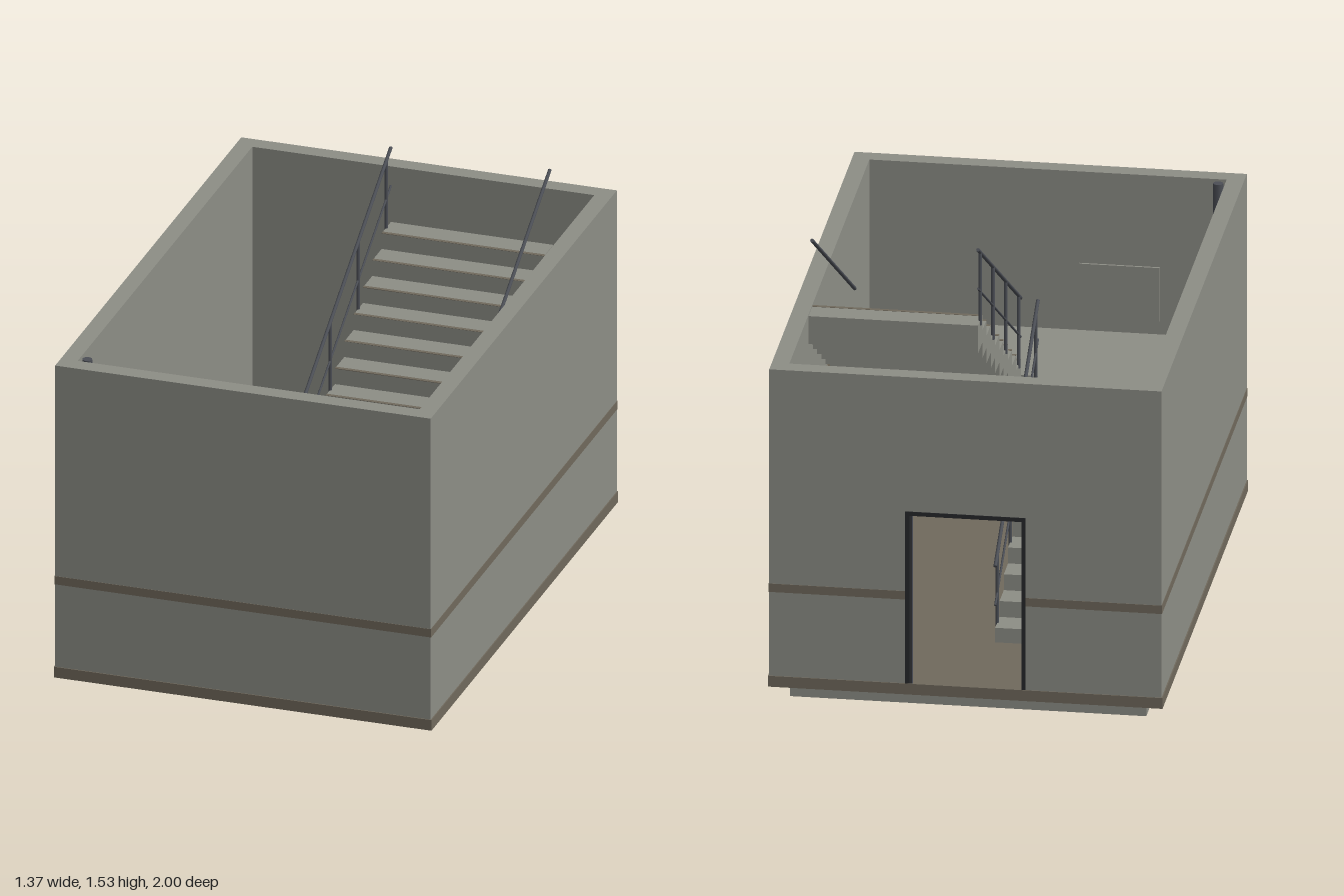
import * as THREE from 'three';

const mat = (name, color) => Object.assign(new THREE.MeshStandardMaterial({ color }), { name });

export function createModel() {
  const root = new THREE.Group();
  root.name = 'stairwell';
  const concrete = mat('concrete grey', 0x8d8e86);
  const brown = mat('trim brown', 0x70695c);
  const metal = mat('rail metal', 0x4c4f56);
  const doorBlue = mat('door slate', 0x565a64);
  const dark = mat('frame black', 0x27282b);

  // Box given by its min and max corners
  const box = (name, m, x0, x1, y0, y1, z0, z1, parent = root) => {
    const mesh = new THREE.Mesh(new THREE.BoxGeometry(x1 - x0, y1 - y0, z1 - z0), m);
    mesh.position.set((x0 + x1) / 2, (y0 + y1) / 2, (z0 + z1) / 2);
    mesh.name = name;
    parent.add(mesh);
    return mesh;
  };
  // Round bar between two points
  const bar = (name, a, b, r, parent) => {
    const p = new THREE.Vector3(...a), q = new THREE.Vector3(...b);
    const mesh = new THREE.Mesh(new THREE.CylinderGeometry(r, r, p.distanceTo(q), 8), metal);
    mesh.position.copy(p).add(q).multiplyScalar(0.5);
    mesh.quaternion.setFromUnitVectors(new THREE.Vector3(0, 1, 0), q.sub(p).normalize());
    mesh.name = name;
    parent.add(mesh);
  };

  const X = 0.683, Z = 0.997, IX = 0.622, IZ = 0.935;
  const FLOOR = 0.06, TOP = 1.24, RISE = 0.059, RUN = 0.1, MID = FLOOR + 10 * RISE;

  // Walls, the back one with a door opening
  for (const s of [-1, 1]) {
    const a = s * IX, b = s * X;
    box('sideWall', concrete, Math.min(a, b), Math.max(a, b), FLOOR, TOP, -Z, Z);
  }
  box('frontWall', concrete, -IX, IX, FLOOR, TOP, IZ, Z);
  const DW = 0.21, DH = 0.74;
  box('backWallRight', concrete, -IX, -DW, FLOOR, TOP, -Z, -IZ);
  box('backWallLeft', concrete, DW, IX, FLOOR, TOP, -Z, -IZ);
  box('backWallLintel', concrete, -DW, DW, DH, TOP, -Z, -IZ);

  // Base band and upper stripe around the outside
  for (const [name, y0, y1, t] of [['baseBand', FLOOR, 0.1, 0.004], ['wallStripe', 0.412, 0.443, 0.002]]) {
    for (const s of [-1, 1]) {
      const x = s * (X + t / 2), z = s * (Z + t / 2 - 0.0005);
      box(name, brown, x - t / 2, x + t / 2, y0, y1, -Z - t + 0.001, Z + t - 0.001);
      if (s < 0 && name === 'wallStripe') {
        box(name, brown, -X, -DW, y0, y1, z - t / 2, z + t / 2);
        box(name, brown, DW, X, y0, y1, z - t / 2, z + t / 2);
      } else box(name, brown, -X, X, y0, y1, z - t / 2, z + t / 2);
    }
  }

  // Floor and landings
  box('floor', brown, -X + 0.001, X - 0.001, FLOOR - 0.001, FLOOR + 0.005, -Z + 0.001, Z - 0.001);
  box('lowerLandingSlab', concrete, -0.62, 0.62, 0, FLOOR - 0.001, -0.93, -0.5);
  box('middleLanding', concrete, -IX, IX, MID - 0.06, MID, 0.5, IZ);

  // Two flights of block steps; dir is the z direction of climbing
  const flight = (name, x0, x1, base, dir) => {
    const g = new THREE.Group();
    g.name = name;
    for (let i = 0; i < 10; i++) {
      const y = base + RISE * (i + 1);
      const za = dir * (-0.5 + RUN * i), zb = dir * (-0.5 + RUN * (i + 1));
      box('step', concrete, x0, x1, y - 0.104, y, Math.min(za, zb), Math.max(za, zb), g);
      // nosing strip on the climbing flight edge
      if (dir < 0 || i === 6) {
        const n = za + dir * 0.014;
        box('nosing', brown, x0, x1, y - 0.001, y + 0.001, Math.min(za, n), Math.max(za, n), g);
      }
    }
    root.add(g);
  };
  flight('lowerFlight', -0.62, -0.03, FLOOR, 1);
  flight('upperFlight', 0.03, 0.62, MID, -1);

  // Sloping handrails; the inner ones have posts and a middle rail
  const railing = (name, x, base, dir, posts) => {
    const g = new THREE.Group();
    g.name = name;
    const at = (z, drop = 0) => [x, base + 0.58 + dir * z * 0.585 - drop, z];
    bar('handrail', at(-0.5), at(0.5), 0.0065, g);
    if (posts) {
      bar('middleRail', at(-0.5, 0.145), at(0.5, 0.145), 0.004, g);
      for (const z of [-0.45, -0.15, 0.15, 0.45]) bar('post', at(z), at(z, 0.27), 0.0065, g);
    }
    root.add(g);
  };
  railing('lowerInnerRail', -0.03, FLOOR, 1, true);
  railing('lowerWallRail', -0.612, FLOOR, 1, false);
  railing('upperInnerRail', 0.03, MID, -1, true);
  railing('upperWallRail', 0.608, MID, -1, false);

  // Door frame, open door leaf and lamp above the door
  box('doorFrameSide', dark, -DW, -DW + 0.015, FLOOR, DH, -Z - 0.002, -IZ + 0.004);
  box('doorFrameSide', dark, DW - 0.015, DW, FLOOR, DH, -Z - 0.002, -IZ + 0.004);
  box('doorFrameTop', dark, -DW, DW, DH - 0.015, DH, -Z - 0.002, -IZ + 0.004);
  const door = new THREE.Group();
  door.name = 'door';
  box('doorLeaf', doorBlue, -0.007, 0.007, 0.07, 0.72, 0, 0.375, door);
  box('doorHandle', dark, -0.015, 0.015, 0.36, 0.38, 0.33, 0.36, door);
  door.position.set(0.2, 0, -0.93);
  door.rotation.y = 0.18;
  root.add(door);
  box('lampHousing', dark, -0.105, 0.105, 0.8, 0.87, -IZ, -0.918);
  box('lampCover', doorBlue, -0.06, 0.06, 0.805, 0.875, -IZ, -0.912);

  // Wall fittings: corner pipe, landing panel and wall plate
  const pipe = new THREE.Mesh(new THREE.CylinderGeometry(0.018, 0.018, TOP - MID - 0.005, 8), metal);
  pipe.position.set(-0.597, (TOP + MID) / 2, 0.905);
  pipe.name = 'cornerPipe';
  root.add(pipe);
  box('landingPanel', concrete, -0.39, -0.11, 0.7, 0.9, IZ - 0.008, IZ);
  box('wallPlate', brown, IX - 0.004, IX, 0.74, 0.88, -0.23, -0.01);

  return root;
}
